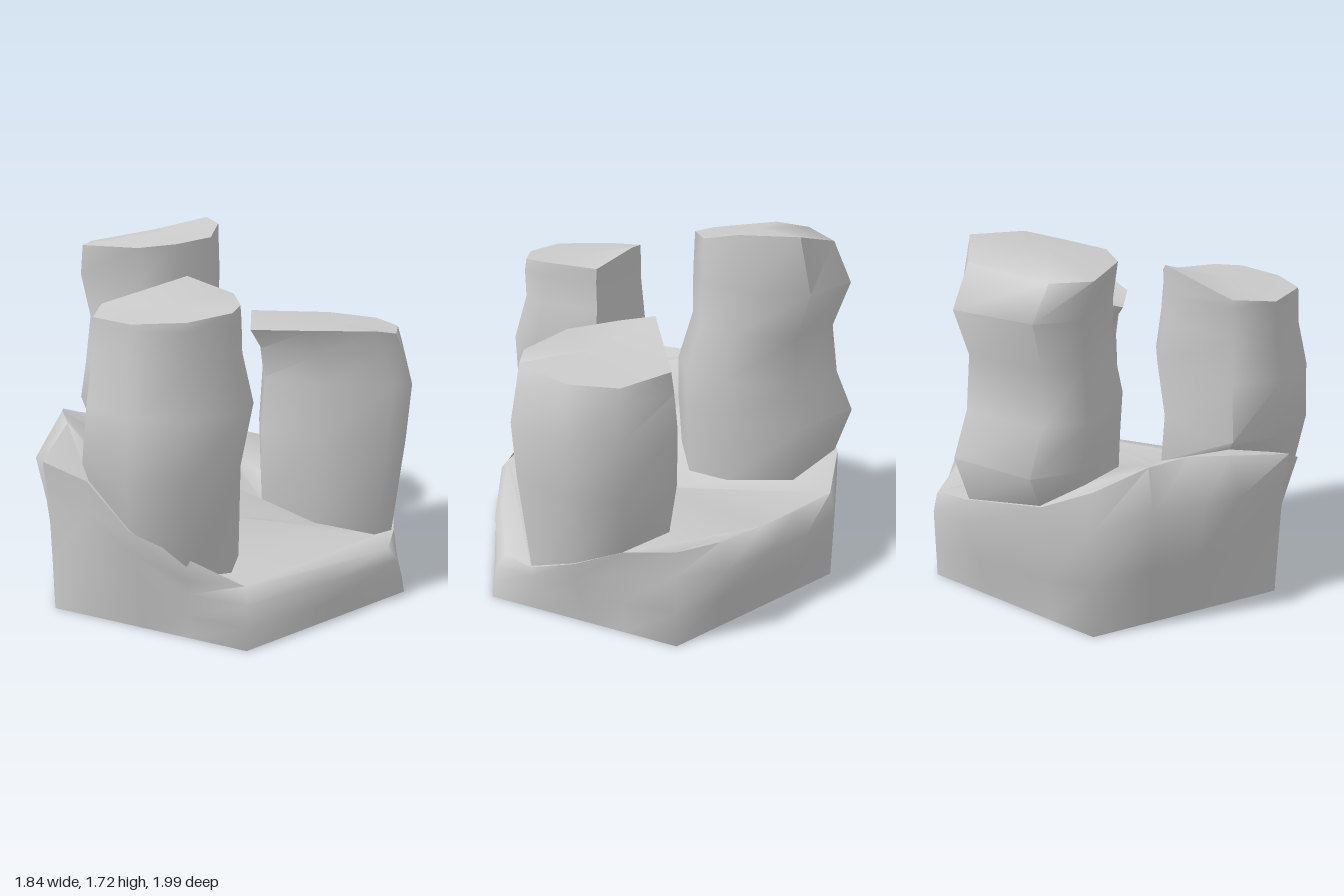
import * as THREE from 'three';
import { mergeGeometries, toCreasedNormals } from 'three/addons/utils/BufferGeometryUtils.js';

const material = new THREE.MeshStandardMaterial({ color: 0xcccccc, side: THREE.DoubleSide });
const { lerp, mapLinear, degToRad } = THREE.MathUtils;

// Base outline about its centre: [degrees from +x towards +z, rim radius, rim height, wall radius]
const CX = 0.075, CZ = -0.02, MIDDLE = 0.41;
const RIM = [
  [0, 0.8, 0.24, 0.84], [30, 0.9, 0.27, 0.95], [46, 0.92, 0.3, 0.91], [61, 0.97, 0.52, 0.94],
  [80, 0.885, 0.66, 0.89], [90, 1.01, 0.74, 0.99], [105, 0.85, 0.76, 0.93], [119, 0.78, 0.775, 0.945],
  [134, 0.84, 0.775, 0.945], [150, 0.95, 0.71, 1.02], [164, 0.96, 0.62, 0.97], [191, 0.955, 0.54, 0.96],
  [210, 0.95, 0.46, 0.98], [224, 0.86, 0.44, 0.93], [238, 0.82, 0.43, 0.89], [256, 0.87, 0.45, 0.95],
  [270, 0.92, 0.46, 0.95], [285, 0.9, 0.44, 0.9], [299, 0.92, 0.36, 0.9], [317, 0.89, 0.23, 0.89],
  [330, 0.89, 0.21, 0.94],
];

// Height of the base's top surface: rim height at the edge, sinking to the middle.
function terrain(x, z) {
  const deg = (Math.atan2(z - CZ, x - CX) * 180 / Math.PI + 360) % 360;
  const loop = [...RIM, [360, RIM[0][1], RIM[0][2]]];
  const i = loop.findIndex((p) => p[0] > deg);
  const [a, b] = [loop[i - 1], loop[i]];
  const t = (deg - a[0]) / (b[0] - a[0]);
  const reach = Math.hypot(x - CX, z - CZ) / lerp(a[1], b[1], t);
  return lerp(MIDDLE, lerp(a[2], b[2], t), Math.min(reach * 1.2, 1));
}

// Wall through equal-sized rings (bottom to top), closed by a centre point if one is given.
function loft(rings, centre) {
  const n = rings[0].length;
  const index = [];
  const last = (rings.length - 1) * n;
  for (let j = 0; j < n; j++) {
    const k = (j + 1) % n;
    for (let i = 0; i < last; i += n) {
      index.push(i + j, i + n + j, i + k, i + k, i + n + j, i + n + k);
    }
    if (centre) index.push(last + j, last + n, last + k);
  }
  const points = centre ? [...rings.flat(), centre] : rings.flat();
  const geometry = new THREE.BufferGeometry();
  geometry.setAttribute('position', new THREE.Float32BufferAttribute(points.flat(), 3));
  geometry.setIndex(index);
  return geometry;
}

function rock(name, geometry) {
  const mesh = new THREE.Mesh(toCreasedNormals(geometry, 1.1), material);
  mesh.name = name;
  return mesh;
}

// Rings of a pillar: its top outline fitted to boxes [x0, x1, z0, z1, y]; the foot follows the base.
function pillarRings(top, boxes) {
  const range = (axis) => {
    const values = top.map((p) => p[axis]);
    return [Math.min(...values), Math.max(...values)];
  };
  const xs = range(0), zs = range(2);
  const rings = boxes.map(([x0, x1, z0, z1, y]) => top.map((p) => {
    const x = mapLinear(p[0], ...xs, x0, x1);
    const z = mapLinear(p[2], ...zs, z0, z1);
    return [x, y ?? terrain(x, z), z];
  }));
  return [...rings, top];
}

const PILLARS = [
  {
    name: 'tallPillar',
    centre: [-0.46, 1.67, 0],
    top: [
      [-0.56, 1.72, -0.38], [-0.3, 1.71, -0.27], [-0.16, 1.66, -0.12], [-0.15, 1.64, 0.1],
      [-0.27, 1.62, 0.25], [-0.62, 1.61, 0.37], [-0.76, 1.61, 0.24], [-0.77, 1.65, -0.2],
    ],
    boxes: [
      [-0.85, -0.09, -0.36, 0.35],
      [-0.92, -0.07, -0.38, 0.36, 0.77],
      [-0.83, -0.07, -0.37, 0.36, 0.98],
      [-0.79, -0.14, -0.37, 0.33, 1.23],
      [-0.86, -0.14, -0.4, 0.35, 1.45],
    ],
  },
  {
    name: 'frontPillar',
    centre: [0.38, 1.45, 0.46],
    top: [
      [0.34, 1.46, 0.11], [0.6, 1.46, 0.27], [0.69, 1.45, 0.38], [0.67, 1.43, 0.6],
      [0.52, 1.42, 0.78], [0.24, 1.41, 0.8], [0.07, 1.43, 0.66], [0.15, 1.53, 0.24],
    ],
    boxes: [
      [0.04, 0.72, 0.12, 0.84],
      [0.02, 0.77, 0.14, 0.87, 0.75],
      [0.05, 0.77, 0.06, 0.85, 1.03],
      [0.07, 0.7, 0.1, 0.81, 1.25],
      [0.07, 0.7, 0.11, 0.8, 1.39],
    ],
  },
  {
    name: 'backPillar',
    centre: [0.4, 1.26, -0.48],
    top: [
      [0.07, 1.24, -0.74], [0.3, 1.23, -0.87], [0.52, 1.23, -0.8], [0.72, 1.25, -0.58],
      [0.7, 1.27, -0.47], [0.5, 1.27, -0.22], [0.24, 1.25, -0.07], [0.08, 1.31, -0.2],
    ],
    boxes: [
      [0.08, 0.72, -0.88, -0.15],
      [0.05, 0.76, -0.92, -0.15, 0.72],
      [0.05, 0.77, -0.93, -0.17, 1.0],
      [0.06, 0.74, -0.89, -0.14, 1.15],
    ],
  },
];

// Hexagonal skirt swelling up to the rim, and a top surface left open under each pillar.
function base(feet) {
  const ring = (rule) => RIM.map(([deg, r, h, wall]) => {
    const foot = 0.849 / Math.cos(degToRad((deg + 30) % 60 - 30));
    const [radius, y] = rule(r, h, wall, foot);
    const a = degToRad(deg);
    return [CX + radius * Math.cos(a), y, CZ + radius * Math.sin(a)];
  });
  const rim = ring((r, h) => [r, h]);
  const skirt = loft([
    ring((r, h, wall, foot) => [foot, 0]),
    ring((r, h, wall, foot) => [lerp(foot, wall, 0.4), h * 0.38]),
    ring((r, h, wall) => [wall, h * 0.77]),
    rim,
  ]);

  const flat = (points) => points.map(([x, , z]) => new THREE.Vector2(x, -z));
  const shape = new THREE.Shape(flat(rim));
  shape.holes = feet.map((foot) => new THREE.Path(flat(foot)));
  const top = new THREE.ShapeGeometry(shape).rotateX(-Math.PI / 2);
  const position = top.attributes.position;
  for (let i = 0; i < position.count; i++) {
    position.setY(i, terrain(position.getX(i), position.getZ(i)));
  }
  top.deleteAttribute('normal');
  top.deleteAttribute('uv');
  return rock('rockBase', mergeGeometries([skirt, top]));
}

export function createModel() {
  const group = new THREE.Group();
  group.name = 'rockFormation';
  const feet = [];
  for (const { name, top, boxes, centre } of PILLARS) {
    const rings = pillarRings(top, boxes);
    feet.push(rings[0]);
    group.add(rock(name, loft(rings, centre)));
  }
  group.add(base(feet));
  return group;
}
